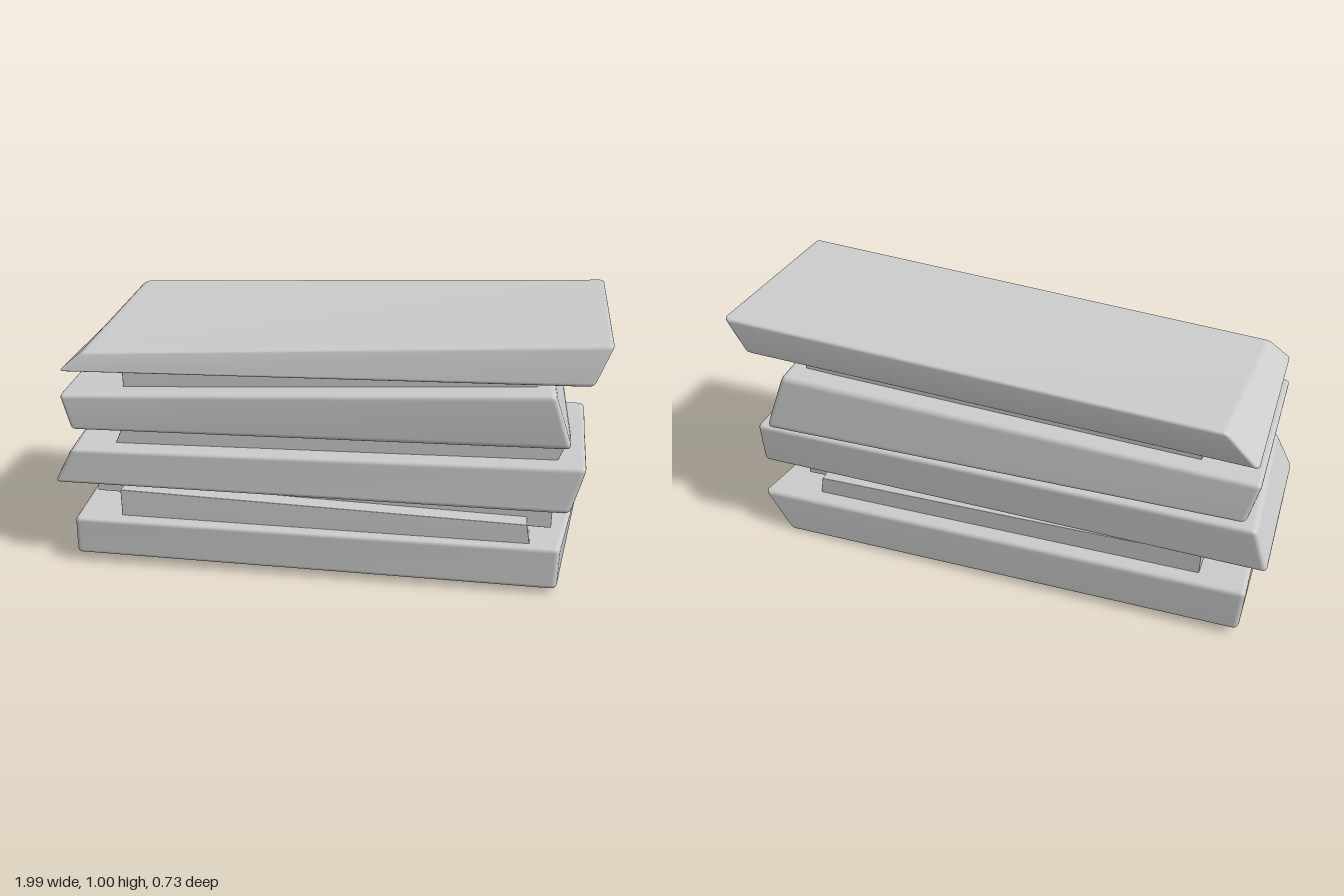
import * as THREE from 'three';
import { RoundedBoxGeometry } from 'three/addons/geometries/RoundedBoxGeometry.js';
import { mergeVertices } from 'three/addons/utils/BufferGeometryUtils.js';

const material = new THREE.MeshStandardMaterial({ color: 0xcccccc });

// Warps a softly rounded block onto eight corners.
// Corner order: left back, left front, right back, right front; bottom four, then top four.
function block(name, corners, radius) {
  const size = new THREE.Vector3(1.9, 0.18, 0.66);
  let geo = new RoundedBoxGeometry(size.x, size.y, size.z, 2, radius);
  geo.deleteAttribute('normal');
  geo.deleteAttribute('uv');
  geo = mergeVertices(geo, 1e-4);
  const pos = geo.attributes.position;
  const p = new THREE.Vector3();
  for (let i = 0; i < pos.count; i++) {
    p.fromBufferAttribute(pos, i).divide(size).addScalar(0.5);
    const out = [0, 0, 0];
    corners.forEach((c, k) => {
      const weight = (k & 4 ? p.y : 1 - p.y) * (k & 2 ? p.x : 1 - p.x) * (k & 1 ? p.z : 1 - p.z);
      for (let a = 0; a < 3; a++) out[a] += c[a] * weight;
    });
    pos.setXYZ(i, ...out);
  }
  geo.computeVertexNormals();
  const mesh = new THREE.Mesh(geo, material);
  mesh.name = name;
  return mesh;
}

// Narrower filler: bottom and top are [left x, right x, left y, right y]
function filler(name, bottom, top, back, front) {
  const ring = ([l, r, yl, yr]) => [[l, yl, back], [l, yl, front], [r, yr, back], [r, yr, front]];
  return block(name, [...ring(bottom), ...ring(top)], 0.004);
}

export function createModel() {
  const group = new THREE.Group();
  group.name = 'stoneStack';

  // Four crooked slabs, from the ground up
  const slabs = [
    [[-0.93, 0.03, -0.32], [-0.94, 0.035, 0.31], [0.88, 0, -0.32], [0.86, 0.02, 0.315],
      [-0.94, 0.22, -0.32], [-0.93, 0.195, 0.325], [0.98, 0.185, -0.32], [0.86, 0.185, 0.31]],
    [[-1, 0.33, -0.31], [-1, 0.33, 0.315], [0.96, 0.33, -0.305], [0.88, 0.335, 0.33],
      [-0.94, 0.51, -0.31], [-0.92, 0.475, 0.32], [0.96, 0.51, -0.315], [0.93, 0.51, 0.315]],
    [[-0.9, 0.57, -0.355], [-0.9, 0.565, 0.355], [0.885, 0.55, -0.37], [0.87, 0.585, 0.34],
      [-0.935, 0.73, -0.335], [-0.935, 0.7, 0.355], [0.8, 0.79, -0.345], [0.8, 0.79, 0.355]],
    [[-0.925, 0.79, -0.335], [-0.925, 0.79, 0.365], [0.93, 0.86, -0.345], [0.92, 0.825, 0.365],
      [-0.8, 0.93, -0.355], [-0.84, 0.86, 0.345], [1, 1.003, -0.35], [0.98, 0.97, 0.34]],
  ];
  slabs.forEach((corners, i) => group.add(block(`slab${i + 1}`, corners, 0.02)));

  // Recessed filler between the slabs
  group.add(
    filler('lowerBed', [-0.76, 0.76, 0.15, 0.15], [-0.76, 0.74, 0.3, 0.26], -0.26, 0.28),
    filler('lowerFiller', [-0.87, 0.83, 0.26, 0.22], [-0.87, 0.83, 0.36, 0.36], -0.2, 0.215),
    filler('middleFiller', [-0.78, 0.82, 0.46, 0.48], [-0.72, 0.87, 0.6, 0.6], -0.23, 0.25),
    filler('upperFiller', [-0.72, 0.74, 0.66, 0.74], [-0.72, 0.74, 0.83, 0.86], -0.265, 0.275),
  );
  return group;
}
